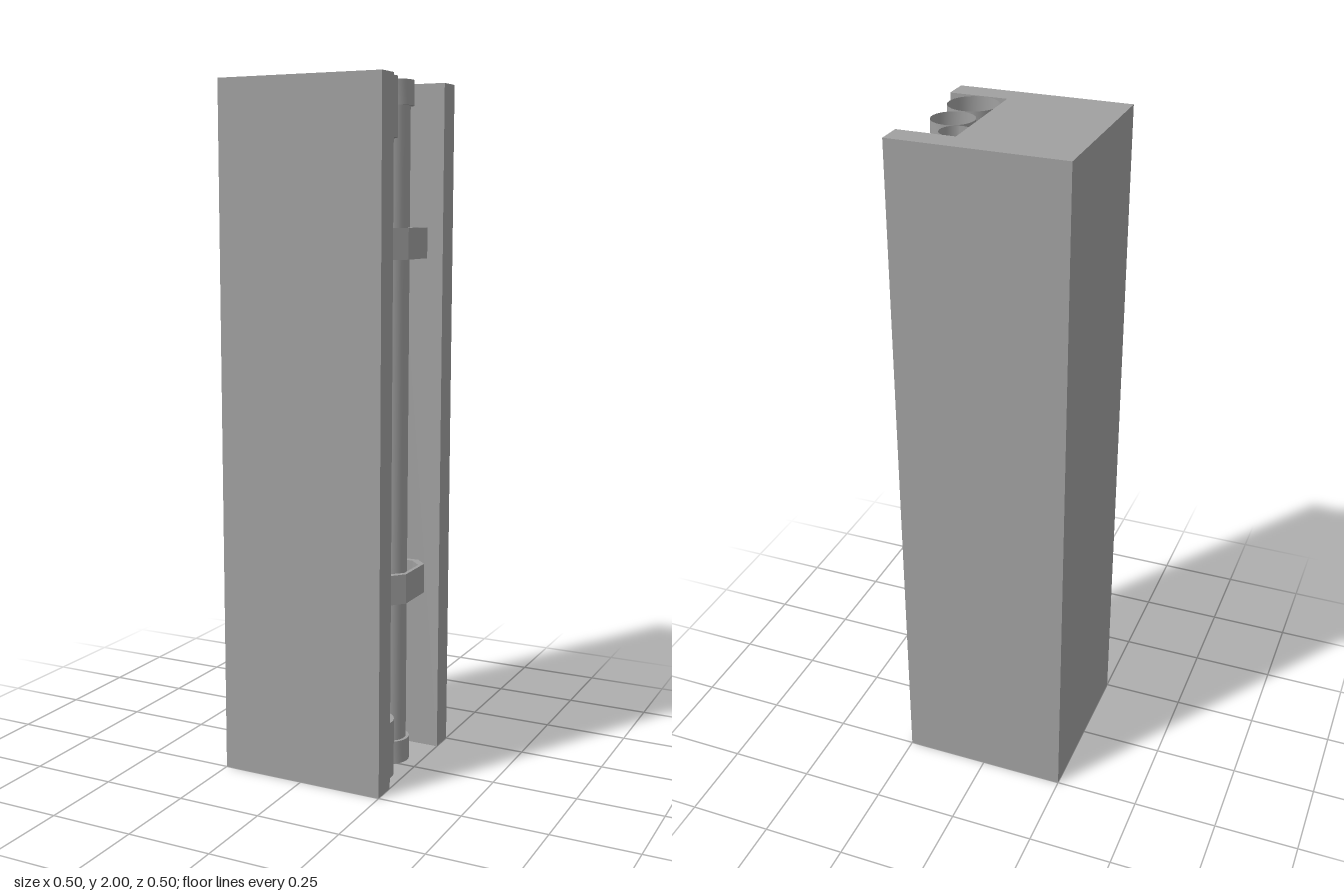
import * as THREE from 'three';
import { toCreasedNormals } from 'three/addons/utils/BufferGeometryUtils.js';

const grey = new THREE.MeshStandardMaterial({ color: 0xa0a0a0 });
const greyDouble = new THREE.MeshStandardMaterial({ color: 0xa0a0a0, side: THREE.DoubleSide });

function mesh(name, geometry, material = grey) {
  const m = new THREE.Mesh(geometry, material);
  m.name = name;
  return m;
}

// Extrudes a floor-plan outline of [x, z] points upwards from y0 to y1.
function extrudePlan(points, y0, y1) {
  const shape = new THREE.Shape(points.map(([x, z]) => new THREE.Vector2(x, -z)));
  const geo = new THREE.ExtrudeGeometry(shape, { depth: y1 - y0, bevelEnabled: false });
  return geo.rotateX(-Math.PI / 2).translate(0, y0, 0);
}

// Thin open pipe that steps out to a wider socket at each end.
function pipe({ name, x, z, bore, socket, low, high }) {
  const profile = [[socket, 0], [socket, low], [bore, low], [bore, high], [socket, high], [socket, 2]];
  const geo = new THREE.LatheGeometry(profile.map(([r, y]) => new THREE.Vector2(r, y)), 32);
  const m = mesh(name, toCreasedNormals(geo, Math.PI / 5), greyDouble);
  m.position.set(x, 0, z);
  return m;
}

export function createModel() {
  const model = new THREE.Group();
  model.name = 'pillarWithPipes';

  // Square pillar with a full-height channel in its left side
  const h = 0.25, c = 0.175, back = 0.083;
  model.add(mesh('pillar', extrudePlan([
    [-h, -h], [h, -h], [h, -c], [back, -c], [back, c], [h, c], [h, h], [-h, h],
  ], 0, 2)));

  // Pipes in the channel
  const pipes = [
    { name: 'largePipe', x: 0.15, z: 0.1, bore: 0.05, socket: 0.071, low: 0.17, high: 1.836 },
    { name: 'mediumPipe', x: 0.15, z: -0.038, bore: 0.05, socket: 0.06, low: 0.07, high: 1.93 },
    { name: 'smallPipe', x: 0.1, z: -0.135, bore: 0.036, socket: 0.045, low: 0.07, high: 1.86 },
  ];
  for (const p of pipes) model.add(pipe(p));

  // Angular brackets holding the two rear pipes
  const bracket = [
    [back, -0.174], [0.182, -0.174], [0.217, -0.137], [0.217, -0.003], [0.182, 0.038], [back, 0.038],
    [back, 0.018], [0.173, 0.018], [0.206, -0.015], [0.206, -0.118], [0.17, -0.156], [back, -0.156],
  ];
  for (const [name, y] of [['lowerBracket', 0.498], ['upperBracket', 1.502]]) {
    model.add(mesh(name, extrudePlan(bracket, y, y + 0.089)));
  }
  return model;
}
